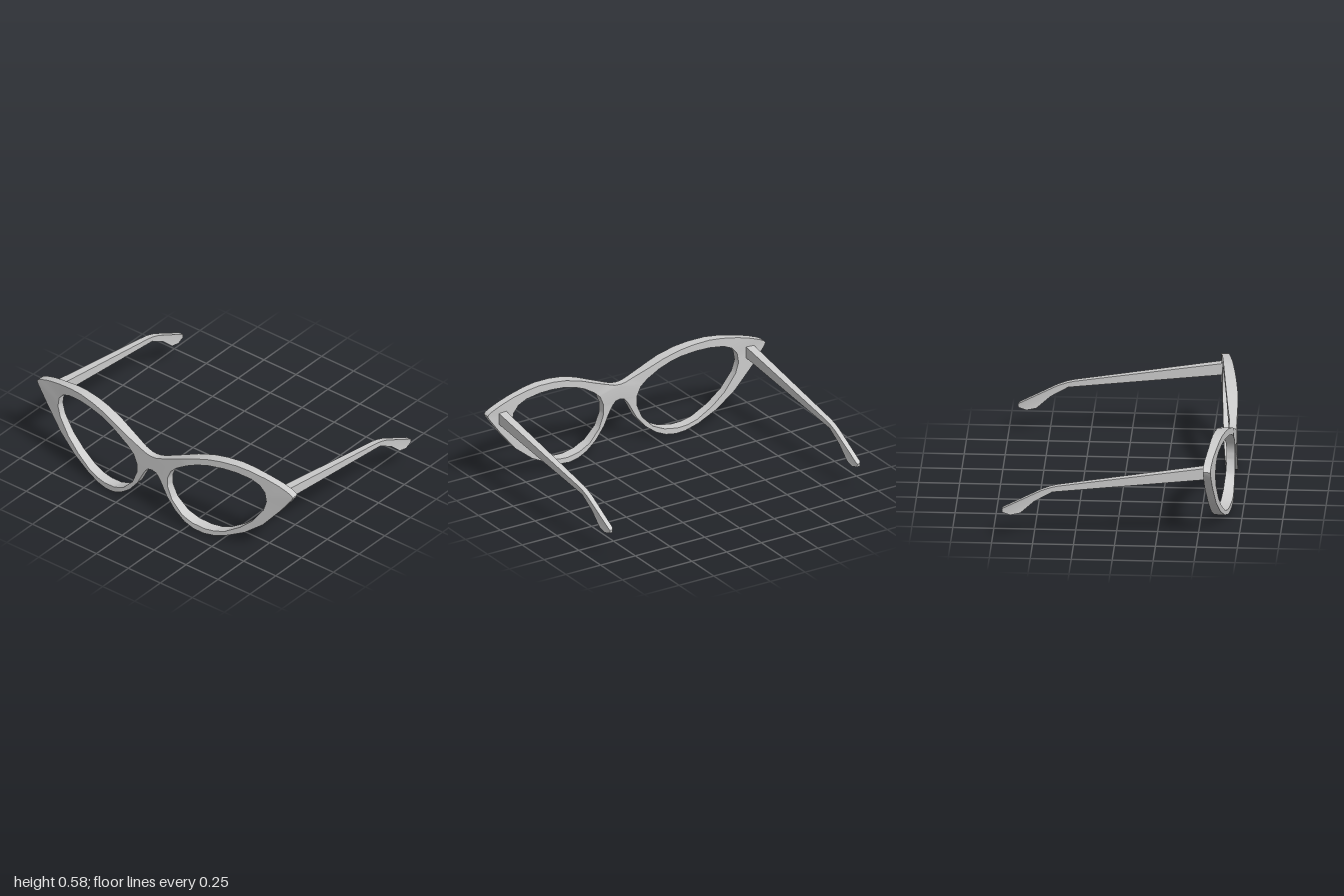
import * as THREE from 'three';
import { toCreasedNormals } from 'three/addons/utils/BufferGeometryUtils.js';

const material = new THREE.MeshStandardMaterial({ color: 0xcccccc });

// Half outline of the frame front, from bridge top round the wing to bridge underside
const RIM = [
  [0, 0.408], [0.035, 0.411], [0.08, 0.427], [0.2, 0.477], [0.3, 0.521], [0.41, 0.556], [0.5, 0.573],
  [0.61, 0.582], [0.7, 0.576], [0.81, 0.558], [0.9, 0.536], [0.96, 0.515], [0.99, 0.5],
  [1, 0.487], [0.992, 0.468], [0.91, 0.355], [0.79, 0.21], [0.665, 0.108], [0.535, 0.038],
  [0.45, 0.009], [0.385, 0], [0.315, 0.008], [0.25, 0.035], [0.178, 0.088],
  [0.117, 0.162], [0.07, 0.25], [0.052, 0.28], [0.03, 0.303], [0, 0.31],
];
// Lens opening
const LENS = [
  [0.12, 0.302], [0.145, 0.362], [0.19, 0.406], [0.268, 0.457], [0.34, 0.49], [0.42, 0.514],
  [0.52, 0.528], [0.61, 0.531], [0.71, 0.52], [0.768, 0.496], [0.805, 0.453], [0.815, 0.39],
  [0.794, 0.32], [0.72, 0.214], [0.633, 0.134], [0.53, 0.067], [0.46, 0.043], [0.393, 0.036],
  [0.305, 0.047], [0.228, 0.08], [0.155, 0.155], [0.12, 0.24],
];
const LENS_CENTRE = new THREE.Vector2(0.45, 0.29);

// Front and back surface depth by distance from the bridge: [x, z]
const FRONT_Z = [[0, 0.69], [0.26, 0.687], [0.4, 0.669], [0.6, 0.639], [0.8, 0.609], [0.92, 0.592], [1, 0.585]];
const BACK_Z = [[0, 0.645], [0.08, 0.643], [0.2, 0.625], [0.4, 0.599], [0.6, 0.578], [0.8, 0.56], [0.93, 0.543], [1, 0.54]];

// Temple arm side profile: [z, y]
const ARM = [
  [0.57, 0.487], [-0.35, 0.346], [-0.395, 0.335], [-0.45, 0.315], [-0.685, 0.195], [-0.693, 0.185],
  [-0.69, 0.165], [-0.64, 0.151], [-0.58, 0.165], [-0.495, 0.243], [-0.385, 0.307], [0.57, 0.413],
];

// Linear interpolation in a list of [key, value] pairs
function lookup(table, k) {
  const i = Math.max(1, table.findIndex(([key]) => k <= key));
  const [a, va] = table[i - 1], [b, vb] = table[i];
  return THREE.MathUtils.mapLinear(k, a, b, va, vb);
}

// Outline points relative to the lens centre, sorted by angle
const aroundLens = (list) => list
  .map(([x, y]) => new THREE.Vector2(x, y).sub(LENS_CENTRE))
  .sort((p, q) => p.angle() - q.angle());

// Where a ray from the lens centre meets an outline
function hit(loop, angle) {
  const j = loop.findIndex((p) => p.angle() >= angle);
  const q = loop[j < 0 ? 0 : j], p = loop.at((j < 0 ? 0 : j) - 1);
  const ray = new THREE.Vector2(Math.cos(angle), Math.sin(angle));
  const t = p.cross(ray) / p.clone().sub(q).cross(ray);
  return p.clone().lerp(q, t).add(LENS_CENTRE);
}

// Winged front, swept round each lens as a four-cornered section and bent back to the hinges
function frameFront() {
  const rim = aroundLens(RIM), lens = aroundLens(LENS);
  const angles = [...rim, ...lens].map((p) => p.angle()).sort((a, b) => a - b)
    .filter((a, i, all) => i === 0 || a - all[i - 1] > 1e-4);
  const positions = [];
  for (const side of [1, -1]) {
    const corner = (p, depth) => {
      const d = THREE.MathUtils.clamp(p.x, 0, 1);
      return [side * d - 0.018 * (1 - d), p.y, lookup(depth, d)]; // bridge sits slightly off centre
    };
    const sections = angles.map((a) => {
      const outer = hit(rim, a), inner = hit(lens, a);
      return {
        atBridge: outer.x < 1e-5,
        corners: [corner(outer, FRONT_Z), corner(inner, FRONT_Z), corner(inner, BACK_Z), corner(outer, BACK_Z)],
      };
    });
    sections.forEach((s, i) => {
      const next = sections[(i + 1) % sections.length];
      for (let k = 0; k < 4; k++) {
        if (k === 3 && s.atBridge && next.atBridge) continue; // halves join here
        const m = (k + 1) % 4;
        const quad = [s.corners[k], next.corners[k], next.corners[m], s.corners[m]];
        if (side < 0) quad.reverse();
        for (const n of [0, 1, 2, 0, 2, 3]) positions.push(...quad[n]);
      }
    });
  }
  const geometry = new THREE.BufferGeometry();
  geometry.setAttribute('position', new THREE.Float32BufferAttribute(positions, 3));
  return toCreasedNormals(geometry, 0.6);
}

// Temple arm, tapering in width towards the ear tip
function templeArm(side) {
  const shape = new THREE.Shape(ARM.map(([z, y]) => new THREE.Vector2(z, y)));
  const geometry = new THREE.ExtrudeGeometry(shape, { depth: 1, bevelEnabled: false });
  geometry.translate(0, 0, -0.5).rotateY(-Math.PI / 2);
  const pos = geometry.attributes.position;
  for (let i = 0; i < pos.count; i++) {
    const z = pos.getZ(i);
    const t = THREE.MathUtils.clamp((z + 0.6) / 1.15, 0, 1);
    const width = z < -0.688 ? 0.02 : THREE.MathUtils.lerp(0.03, 0.055, t);
    pos.setX(i, pos.getX(i) * width + side * 0.891 - 0.004);
  }
  return toCreasedNormals(geometry, 0.6);
}

export function createModel() {
  const group = new THREE.Group();
  group.name = 'glasses';
  const add = (name, geometry) => {
    const mesh = new THREE.Mesh(geometry, material);
    mesh.name = name;
    group.add(mesh);
  };
  add('frameFront', frameFront());
  add('leftTemple', templeArm(1));
  add('rightTemple', templeArm(-1));
  return group;
}
